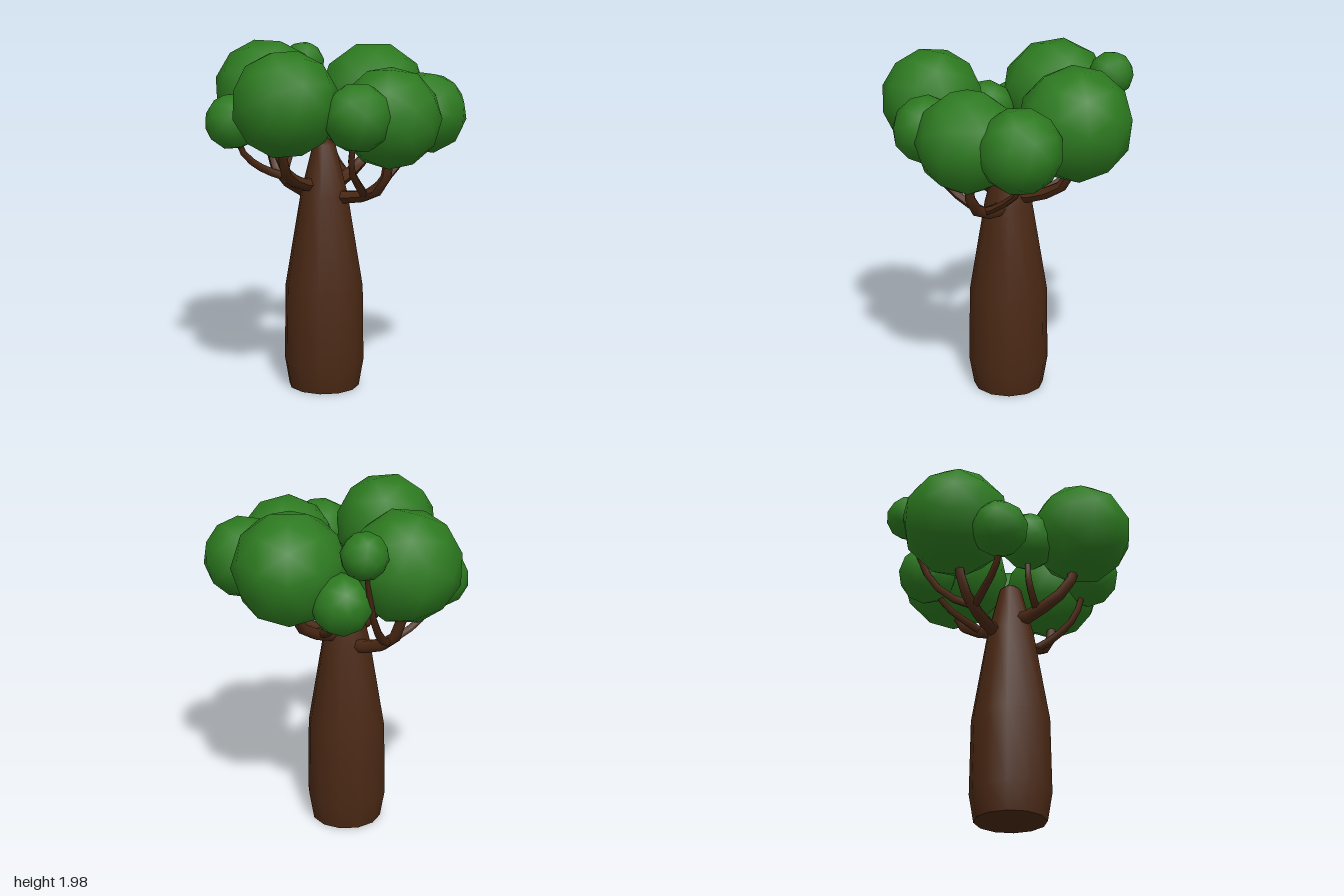
import * as THREE from 'three';
import { mergeVertices } from 'three/addons/utils/BufferGeometryUtils.js';

const bark = new THREE.MeshStandardMaterial({ color: 0x4a2814 });
const leaf = new THREE.MeshStandardMaterial({ color: 0x2d7a20 });

// Bent limb that thins towards its tip
function limb(name, points, r0, r1) {
  const curve = new THREE.CatmullRomCurve3(points.map((p) => new THREE.Vector3(...p)));
  const segments = 6, sides = 6;
  const geo = new THREE.TubeGeometry(curve, segments, 1, sides);
  const pos = geo.attributes.position, v = new THREE.Vector3();
  for (let i = 0; i < pos.count; i++) {
    const t = Math.floor(i / (sides + 1)) / segments;
    const c = curve.getPointAt(t);
    v.fromBufferAttribute(pos, i).sub(c).multiplyScalar(r0 + (r1 - r0) * t).add(c);
    pos.setXYZ(i, v.x, v.y, v.z);
  }
  geo.computeVertexNormals();
  const mesh = new THREE.Mesh(geo, bark);
  mesh.name = name;
  return mesh;
}

// Smooth low-poly ball of leaves with a vertex at its top
function foliage(name, x, y, z, r, spin) {
  const geo = new THREE.IcosahedronGeometry(r, 1);
  geo.rotateX(Math.atan(2 / (1 + Math.sqrt(5))));
  geo.deleteAttribute('uv');
  const mesh = new THREE.Mesh(mergeVertices(geo), leaf);
  mesh.position.set(x, y, z);
  mesh.rotation.y = spin;
  mesh.name = name;
  return mesh;
}

export function createModel() {
  const tree = new THREE.Group();
  tree.name = 'tree';

  // Swollen trunk, narrowing to a blunt tip
  const profile = [[0.205, 0], [0.232, 0.16], [0.225, 0.6], [0.135, 1.14], [0.065, 1.42], [0.03, 1.45], [0, 1.455]];
  const trunk = new THREE.Mesh(
    new THREE.LatheGeometry(profile.map((p) => new THREE.Vector2(...p)), 12), bark);
  trunk.position.x = 0.018;
  trunk.name = 'trunk';
  const base = new THREE.Mesh(new THREE.CircleGeometry(0.205, 12).rotateX(Math.PI / 2), bark);
  base.position.x = 0.018;
  base.name = 'trunkBase';
  tree.add(trunk, base);

  // Four main branches
  const mains = {
    rightBranch: [[-0.03, 1.12, -0.03], [-0.14, 1.13, -0.03], [-0.28, 1.18, -0.03], [-0.39, 1.28, -0.04], [-0.42, 1.4, -0.05], [-0.44, 1.6, -0.06]],
    leftBranch: [[0.05, 1.13, -0.01], [0.17, 1.13, -0.01], [0.29, 1.15, -0.01], [0.42, 1.22, 0], [0.46, 1.34, 0], [0.47, 1.5, 0]],
    frontBranch: [[-0.01, 1.2, 0.03], [-0.01, 1.2, 0.13], [0, 1.25, 0.27], [0.03, 1.34, 0.39], [0.07, 1.48, 0.42], [0.1, 1.6, 0.44]],
    backBranch: [[0.03, 1.18, -0.03], [0.03, 1.19, -0.12], [0.03, 1.24, -0.27], [0.04, 1.32, -0.38], [0.05, 1.45, -0.42], [0.05, 1.6, -0.44]],
  };
  for (const [name, path] of Object.entries(mains)) tree.add(limb(name, path, 0.042, 0.024));

  // Twigs forking off towards the smaller leaf balls
  const twigs = [
    [[0.3, 1.16, 0], [0.34, 1.22, 0.1], [0.37, 1.33, 0.22], [0.42, 1.55, 0.27]],
    [[0.31, 1.16, 0], [0.34, 1.22, -0.12], [0.38, 1.34, -0.26], [0.46, 1.55, -0.32]],
    [[-0.3, 1.2, -0.03], [-0.36, 1.25, 0.08], [-0.41, 1.35, 0.2], [-0.44, 1.5, 0.25]],
    [[-0.31, 1.2, -0.03], [-0.37, 1.27, -0.16], [-0.41, 1.42, -0.28], [-0.45, 1.78, -0.4]],
    [[0, 1.23, 0.2], [-0.07, 1.27, 0.22], [-0.13, 1.36, 0.23], [-0.13, 1.55, 0.22]],
    [[0.03, 1.22, -0.21], [-0.08, 1.27, -0.27], [-0.17, 1.34, -0.33], [-0.27, 1.48, -0.38]],
  ];
  twigs.forEach((path, i) => tree.add(limb('twig' + (i + 1), path, 0.025, 0.016)));

  // Leaf balls: x, y, z, radius
  const balls = [
    [-0.445, 1.685, -0.06, 0.315],
    [0.05, 1.66, -0.435, 0.32],
    [0.095, 1.695, 0.45, 0.295],
    [0.47, 1.605, 0, 0.285],
    [0.49, 1.605, -0.33, 0.233],
    [0.445, 1.63, 0.27, 0.19],
    [-0.45, 1.54, 0.25, 0.163],
    [-0.45, 1.83, -0.41, 0.13],
    [-0.28, 1.52, -0.39, 0.172],
    [-0.12, 1.62, 0.225, 0.168],
  ];
  balls.forEach(([x, y, z, r], i) => tree.add(foliage('foliage' + (i + 1), x, y, z, r, i * 0.7)));

  return tree;
}
